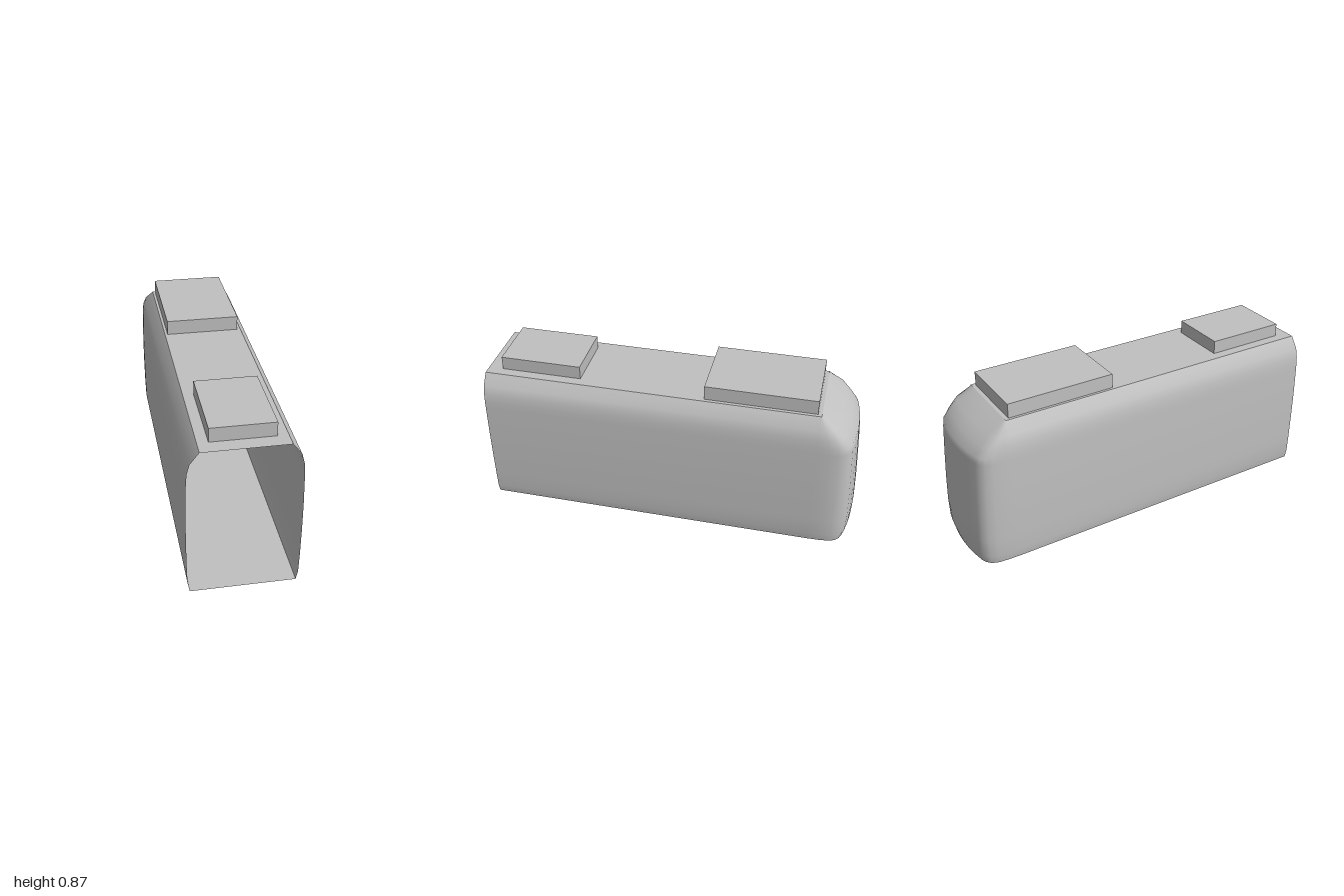
import * as THREE from 'three';

const CAP_Z = -0.78; // where the straight walls meet the rounded end
const TOP = 0.788;

// wall cross-section rows: height, half width, depth of the rounded end
const ROWS = [
  [0, 0.26, 0.205], [0.05, 0.27, 0.217], [0.15, 0.273, 0.22], [0.3, 0.275, 0.214],
  [0.45, 0.275, 0.205], [0.6, 0.272, 0.195], [0.635, 0.271, 0.19],
  [0.68, 0.267, 0.15], [0.73, 0.254, 0.1], [TOP, 0.21, 0],
];

// half plan of the rounded end: fraction of half width, fraction of depth
const HALF_PLAN = [
  [1, 0], [0.993, 0.3], [0.975, 0.55], [0.925, 0.73], [0.84, 0.83], [0.74, 0.89],
  [0.5, 0.95], [0.25, 0.99], [0, 1],
];

// one horizontal loop, from the open end at +x around to the open end at -x
function outline([y, w, depth]) {
  const half = HALF_PLAN.map(([u, d]) => [u * w, y, CAP_Z - d * depth]);
  const mirrored = half.slice(0, -1).reverse().map(([x, h, z]) => [-x, h, z]);
  return [[w, y, 1], ...half, ...mirrored, [-w, y, 1]];
}

// smooth surface through equal-length loops
function loft(loops) {
  const n = loops[0].length;
  const index = [];
  for (let j = 0; j < loops.length - 1; j++) {
    for (let i = 0; i < n - 1; i++) {
      const a = j * n + i, b = a + 1, c = b + n, d = a + n;
      index.push(a, b, c, a, c, d);
    }
  }
  const geo = new THREE.BufferGeometry();
  geo.setAttribute('position', new THREE.Float32BufferAttribute(loops.flat(2), 3));
  geo.setIndex(index);
  geo.computeVertexNormals();
  return geo;
}

export function createModel() {
  const group = new THREE.Group();
  const grey = new THREE.MeshStandardMaterial({ color: 0xc0c0c0, side: THREE.DoubleSide });
  grey.name = 'plain grey';

  const add = (name, geo, x = 0, y = 0, z = 0) => {
    const mesh = new THREE.Mesh(geo, grey);
    mesh.name = name;
    mesh.position.set(x, y, z);
    group.add(mesh);
  };

  // walls with rounded closed end, open at the front
  add('walls', loft(ROWS.map(outline)));

  // flat floor following the lowest loop
  const plan = new THREE.Shape(outline(ROWS[0]).map(([x, , z]) => new THREE.Vector2(x, z)));
  add('floor', new THREE.ShapeGeometry(plan).rotateX(Math.PI / 2));

  // flat roof panel
  const roofLength = 1 - CAP_Z;
  add('roof', new THREE.PlaneGeometry(0.42, roofLength).rotateX(-Math.PI / 2), 0, TOP, 1 - roofLength / 2);

  // roof boxes
  add('frontRoofBox', new THREE.BoxGeometry(0.314, 0.072, 0.432), 0, TOP + 0.036, 0.706);
  add('rearRoofBox', new THREE.BoxGeometry(0.388, 0.077, 0.58), -0.002, TOP + 0.0385, -0.47);

  return group;
}
